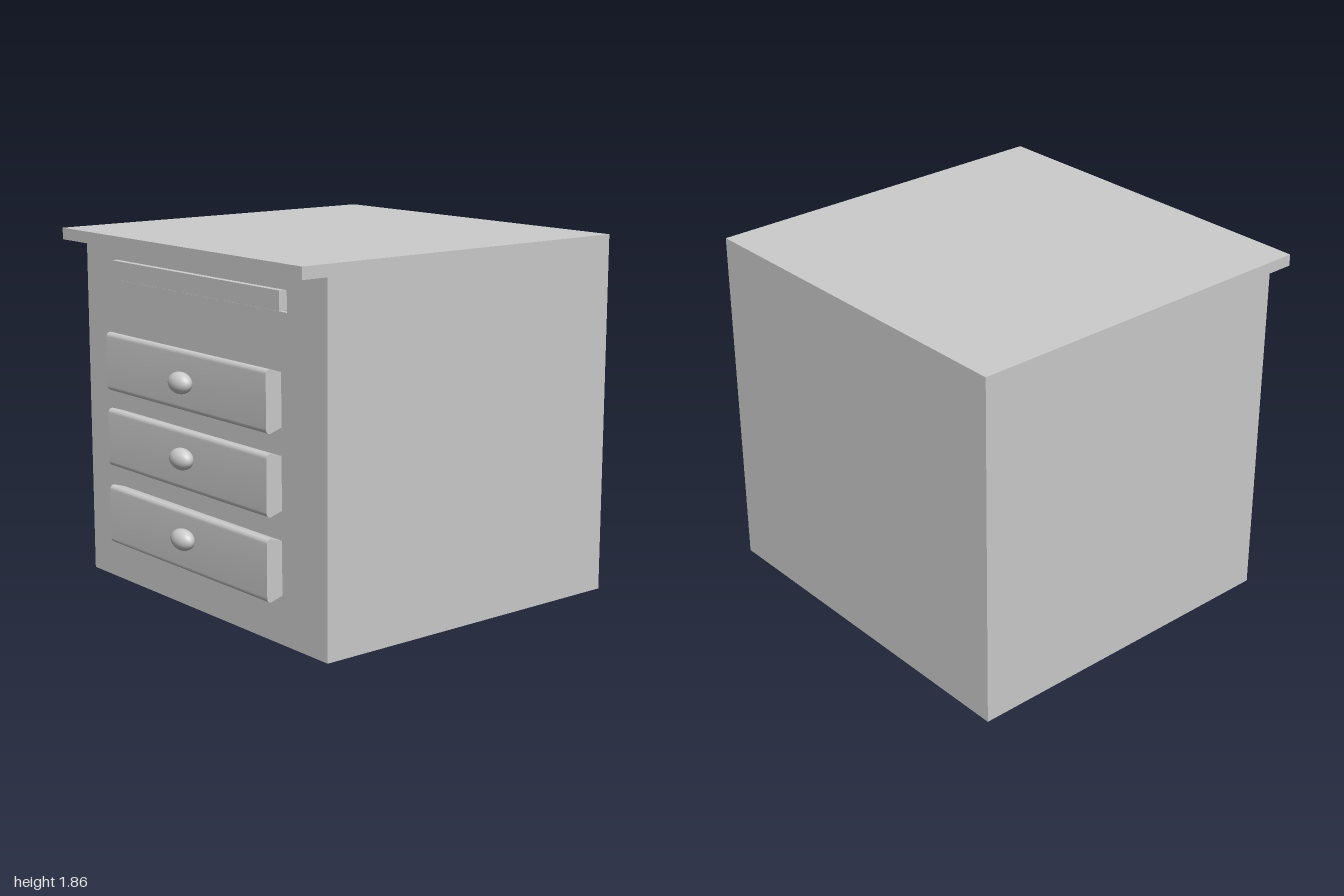
import * as THREE from 'three';
import { toCreasedNormals } from 'three/addons/utils/BufferGeometryUtils.js';

const material = new THREE.MeshStandardMaterial({ color: 0xcccccc });

function part(name, geometry) {
  const mesh = new THREE.Mesh(geometry, material);
  mesh.name = name;
  return mesh;
}

// Box given by its lower and upper limits on each axis
function box(name, [x0, x1], [y0, y1], [z0, z1]) {
  const geometry = new THREE.BoxGeometry(x1 - x0, y1 - y0, z1 - z0);
  geometry.translate((x0 + x1) / 2, (y0 + y1) / 2, (z0 + z1) / 2);
  return part(name, geometry);
}

function rectangle(path, x0, x1, y0, y1) {
  return path.moveTo(x0, y0).lineTo(x1, y0).lineTo(x1, y1).lineTo(x0, y1).closePath();
}

// Front panel with the slot for the pull-out board
function frontPanel() {
  const shape = rectangle(new THREE.Shape(), -1, 1, 0, 1.8);
  shape.holes.push(rectangle(new THREE.Path(), -0.73, 0.705, 1.605, 1.71));
  const geometry = new THREE.ExtrudeGeometry(shape, { depth: 0.03, bevelEnabled: false });
  geometry.translate(0, 0, 0.8);
  return part('frontPanel', geometry);
}

// Drawer front: side profile tapering to the cabinet, rounded at the face
function drawerFront(y0, y1) {
  const back = -0.825, mid = -0.895, face = -0.92, r = 0.025, taper = 0.022;
  const shape = new THREE.Shape();
  shape.moveTo(back, y0 + taper);
  shape.lineTo(back, y1 - taper);
  shape.lineTo(mid, y1);
  shape.quadraticCurveTo(face, y1, face, y1 - r);
  shape.lineTo(face, y0 + r);
  shape.quadraticCurveTo(face, y0, mid, y0);
  shape.closePath();
  let geometry = new THREE.ExtrudeGeometry(shape, { depth: 1.35, bevelEnabled: false, curveSegments: 6 });
  geometry.rotateY(Math.PI / 2);
  geometry.translate(-0.69, 0, 0);
  geometry = toCreasedNormals(geometry, 0.5);
  return part('drawerFront', geometry);
}

// Flattened oval knob
function knob(y) {
  const mesh = part('knob', new THREE.SphereGeometry(1, 32, 20));
  mesh.scale.set(0.08, 0.055, 0.048);
  mesh.position.set(0.015, y, 0.952);
  return mesh;
}

export function createModel() {
  const model = new THREE.Group();
  model.name = 'drawerCabinet';

  model.add(
    box('body', [-1, 1], [0, 1.8], [-1, 0.8]),
    frontPanel(),
    box('top', [-1, 1], [1.8, 1.86], [-1, 0.975]),
    box('pullOutBoard', [-0.71, 0.685], [1.613, 1.709], [0.78, 0.86])
  );

  // Drawers: lower edge, upper edge, knob height
  for (const [y0, y1, knobY] of [[0.225, 0.535, 0.4], [0.64, 0.945, 0.81], [1.04, 1.345, 1.19]]) {
    const drawer = new THREE.Group();
    drawer.name = 'drawer';
    drawer.add(drawerFront(y0, y1), knob(knobY));
    model.add(drawer);
  }
  return model;
}
